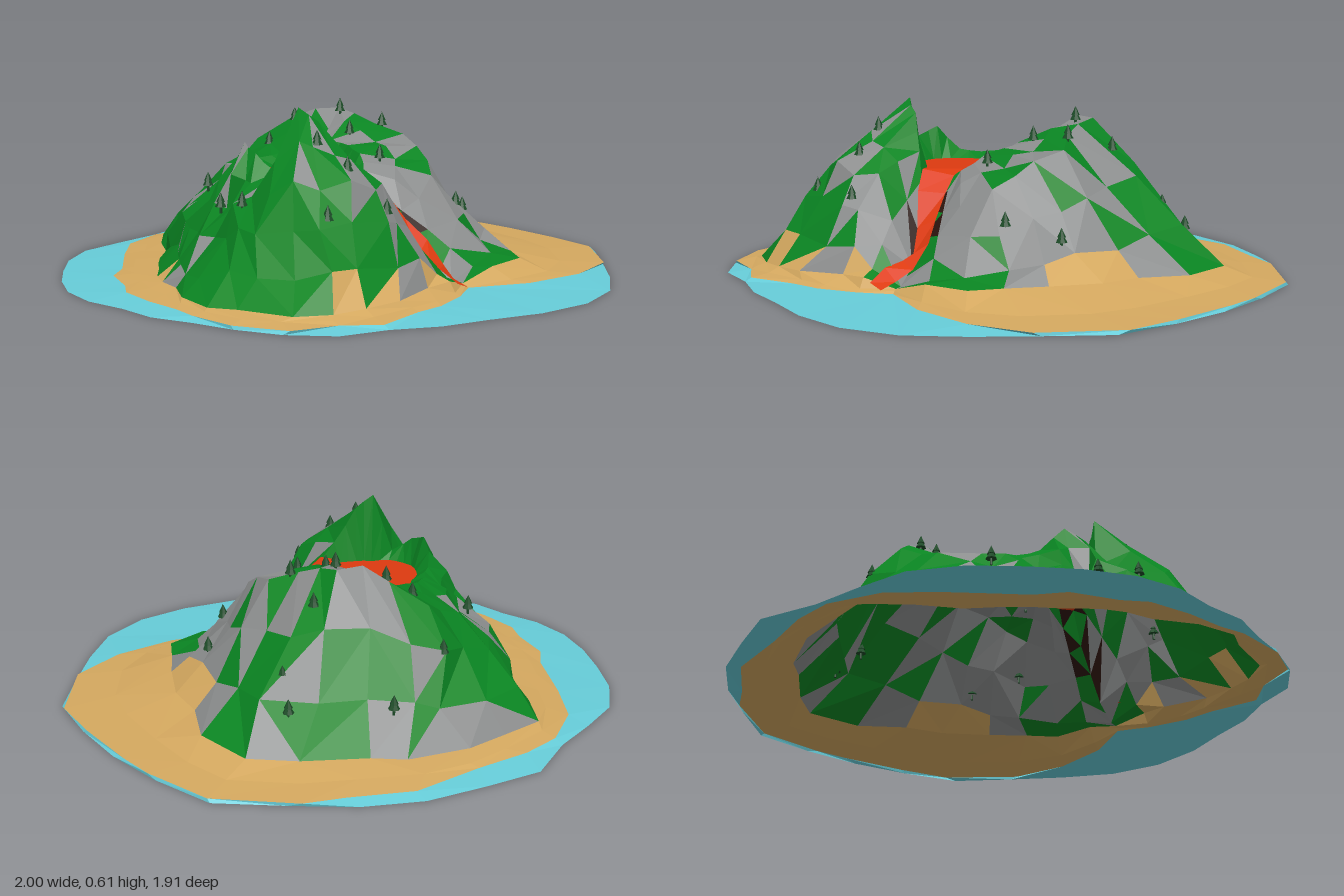
import * as THREE from 'three';
import { mergeGeometries } from 'three/addons/utils/BufferGeometryUtils.js';

const CX = -0.17, CZ = 0.1, LAKE_Y = 0.36, SEG = 32;

// One row per 22.5 degrees from +x towards +z, measured from the crater:
// rim radius, rim height, shoulder radius, shoulder height, foot radius, beach radius
const RAYS = [
  [0.21, 0.42, 0.46, 0.39, 0.78, 1.19], [0.22, 0.37, 0.43, 0.29, 0.74, 0.98],
  [0.30, 0.24, 0.46, 0.07, 0.60, 0.62], [0.21, 0.43, 0.42, 0.37, 0.62, 0.68],
  [0.18, 0.56, 0.46, 0.39, 0.68, 0.78], [0.18, 0.61, 0.45, 0.39, 0.72, 0.80],
  [0.21, 0.39, 0.36, 0.34, 0.66, 0.74], [0.22, 0.45, 0.32, 0.28, 0.55, 0.66],
  [0.22, 0.48, 0.33, 0.27, 0.53, 0.64], [0.21, 0.39, 0.33, 0.28, 0.52, 0.66],
  [0.21, 0.38, 0.38, 0.29, 0.60, 0.75], [0.24, 0.39, 0.46, 0.34, 0.79, 0.92],
  [0.25, 0.40, 0.52, 0.42, 0.86, 0.96], [0.24, 0.42, 0.46, 0.56, 0.88, 1.08],
  [0.22, 0.45, 0.46, 0.54, 0.97, 1.19], [0.21, 0.44, 0.47, 0.45, 0.85, 1.15],
];

// Repeatable noise in 0..1
const noise = (i, j, k = 0) => {
  const s = Math.sin(i * 127.1 + j * 311.7 + k * 74.7) * 43758.5453;
  return s - Math.floor(s);
};
const { lerp, clamp } = THREE.MathUtils;
const polar = (a, r, y) => new THREE.Vector3(CX + Math.cos(a) * r, y, CZ + Math.sin(a) * r);

// Section [radius, height] from lava edge to beach edge at angle a
function section(a) {
  const f = ((a / (Math.PI * 2)) * 16 + 16) % 16, i = Math.floor(f) % 16;
  const [rr, ry, sr, sy, fr, br] = RAYS[i].map((v, k) => lerp(v, RAYS[(i + 1) % 16][k], f % 1));
  const steep = Math.abs(Math.sin(a));
  const footY = 0.03 + 0.035 * Math.max(0, Math.cos(a - 0.2));
  return [
    [rr * 0.8, LAKE_Y], [rr, ry], [lerp(rr, sr, 0.5), lerp(ry, sy, 0.5)], [sr, sy],
    [lerp(sr, fr, 0.35), sy * lerp(0.62, 0.68, steep)], [lerp(sr, fr, 0.7), sy * lerp(0.3, 0.34, steep)],
    [fr, Math.min(footY, sy * 0.35)], [lerp(fr, br, 0.5), 0.02], [br, 0.011],
  ];
}

function heightAt(x, z) {
  const a = Math.atan2(z - CZ, x - CX), r = Math.hypot(x - CX, z - CZ);
  const s = section(a);
  if (r <= s[0][0]) return s[0][1];
  for (let j = 1; j < s.length; j++) {
    if (r <= s[j][0]) return lerp(s[j - 1][1], s[j][1], (r - s[j - 1][0]) / (s[j][0] - s[j - 1][0]));
  }
  return 0.011;
}

// Roughened ring of points per angle, ending with the irregular sea edge
function column(i) {
  i %= SEG;
  const a = (i / SEG) * Math.PI * 2;
  const calm = Math.abs(i - 4) < 2;
  const ROUGH = [0.2, 0.3, 0.8, 1, 1, 1, 0.9, 0.5, 0.9];
  const pts = section(a).map(([r, y], j) => {
    const rough = calm ? 0 : ROUGH[j];
    const da = (noise(i, j) - 0.5) * 0.1 * rough;
    const dr = (noise(i, j, 1) - 0.5) * 0.06 * rough;
    const dy = j > 1 && j < 6 ? (noise(i, j, 2) - 0.5) * 0.035 * rough : 0;
    return polar(a + da, r + dr, y + dy);
  });
  const dot = CX * Math.cos(a) + CZ * Math.sin(a);
  const west = Math.max(0, -Math.cos(a)) ** 16;
  const R = lerp(0.965 + (noise(i, 9, 3) - 0.5) * 0.08, 1.01, west);
  const sea = -dot + Math.sqrt(R * R - CX * CX - CZ * CZ + dot * dot);
  const shore = Math.hypot(pts[8].x - CX, pts[8].z - CZ);
  pts.push(polar(a, Math.max(sea, shore + 0.005), 0));
  // keep every edge inside the two-unit outline
  pts.forEach((p) => {
    p.x = clamp(p.x, -1, 1);
    p.z = clamp(p.z, -0.97, 0.97);
  });
  return pts;
}

// Picks the ground cover of one facet; most facets match their neighbour
function cover(i, j, half, c) {
  if (j === 8) return 'sea';
  if (j >= 6) return 'beach';
  const n = noise(i, j, noise(i, j, 7) > 0.6 ? 5 + half : 5);
  if ((i === 3 || i === 4) && j < 3 && half === 0) return 'scorchedRock';
  if (j === 5 && n > 0.86) return 'beach';
  if (j === 0) return 'grass';
  let grey = 0.1;
  if (c.x > -0.05) grey = 0.5;
  if (c.x > 0.05 && c.z < 0.2) grey = 0.65;
  if (c.x < -0.1 && c.z < -0.15) grey = 0.3;
  if (j === 5) grey *= 0.6;
  return n < grey ? 'rock' : 'grass';
}

function facets(points) {
  const g = new THREE.BufferGeometry().setFromPoints(points);
  g.computeVertexNormals();
  return g;
}

export function createModel() {
  const group = new THREE.Group();
  group.name = 'volcanicIsland';
  const mat = (color) => new THREE.MeshStandardMaterial({ color, flatShading: true, side: THREE.DoubleSide });
  const mats = {
    grass: mat(0x0a8522), rock: mat(0x8c8e8e), beach: mat(0xd4a85f),
    sea: mat(0x66ccd8), scorchedRock: mat(0x2c140d), lava: mat(0xdd3a10), tree: mat(0x1b4a26),
  };
  const add = (name, geometry, material) => {
    const mesh = new THREE.Mesh(geometry, material);
    mesh.name = name;
    group.add(mesh);
    return mesh;
  };

  // Terrain, beach and sea, sorted by cover
  const cells = { grass: [], rock: [], beach: [], sea: [], scorchedRock: [] };
  const cols = Array.from({ length: SEG + 1 }, (_, i) => column(i));
  for (let i = 0; i < SEG; i++) {
    for (let j = 0; j < 9; j++) {
      const a = cols[i][j], b = cols[i + 1][j], c = cols[i][j + 1], d = cols[i + 1][j + 1];
      const tris = noise(i, j, 8) > 0.5 ? [[a, b, c], [b, d, c]] : [[a, b, d], [a, d, c]];
      tris.forEach((t, half) => {
        const mid = t[0].clone().add(t[1]).add(t[2]).divideScalar(3);
        cells[cover(i, j, half, mid)].push(...t);
      });
    }
  }
  for (const name in cells) add(name, facets(cells[name]), mats[name]);

  // Lava lake filling the crater
  const lake = [];
  const centre = new THREE.Vector3(CX, LAKE_Y, CZ);
  for (let i = 0; i < SEG; i++) lake.push(centre, cols[i + 1][0], cols[i][0]);
  add('lavaLake', facets(lake), mats.lava);

  // Lava stream: x, z, width
  const path = [[-0.05, 0.21, 0.13], [0.0, 0.26, 0.12], [0.045, 0.305, 0.1], [0.105, 0.35, 0.065],
    [0.162, 0.395, 0.06], [0.188, 0.455, 0.06], [0.195, 0.52, 0.06], [0.225, 0.585, 0.05]];
  const banks = path.map(([x, z, w], k) => {
    const p = path[Math.max(k - 1, 0)], q = path[Math.min(k + 1, path.length - 1)];
    const len = Math.hypot(q[0] - p[0], q[1] - p[1]);
    const nx = (-(q[1] - p[1]) / len) * w * 0.5, nz = ((q[0] - p[0]) / len) * w * 0.5;
    const lift = k === 1 || k === 2 ? 0.024 : 0.012;
    return [1, -1].map((s) => {
      const px = x + s * nx, pz = z + s * nz;
      return new THREE.Vector3(px, Math.min(heightAt(px, pz), LAKE_Y) + lift, pz);
    });
  });
  const stream = [];
  for (let k = 0; k + 1 < banks.length; k++) {
    const [a, b] = banks[k], [c, d] = banks[k + 1];
    stream.push(a, c, b, b, c, d);
  }
  add('lavaStream', facets(stream), mats.lava);

  // Small conifers scattered over the slopes
  const tree = mergeGeometries([
    new THREE.CylinderGeometry(0.005, 0.005, 0.03, 5).translate(0, 0.005, 0),
    new THREE.ConeGeometry(0.02, 0.035, 7).translate(0, 0.03, 0),
    new THREE.ConeGeometry(0.015, 0.032, 7).translate(0, 0.046, 0),
  ]);
  const spots = [[-0.19, -0.53], [0.03, -0.64], [0.36, -0.54], [0.35, -0.45], [0.2, -0.33],
    [-0.06, -0.33], [-0.17, -0.3], [0.09, -0.24], [-0.44, -0.18], [0.22, -0.14], [0.07, -0.08],
    [0.48, 0.02], [0.11, 0.12], [0.38, 0.18], [-0.49, 0.18], [-0.46, 0.34], [-0.22, 0.4],
    [-0.15, 0.5], [-0.04, 0.57], [-0.26, 0.62]];
  for (const [x, z] of spots) add('tree', tree, mats.tree).position.set(x, heightAt(x, z) - 0.008, z);

  return group;
}
